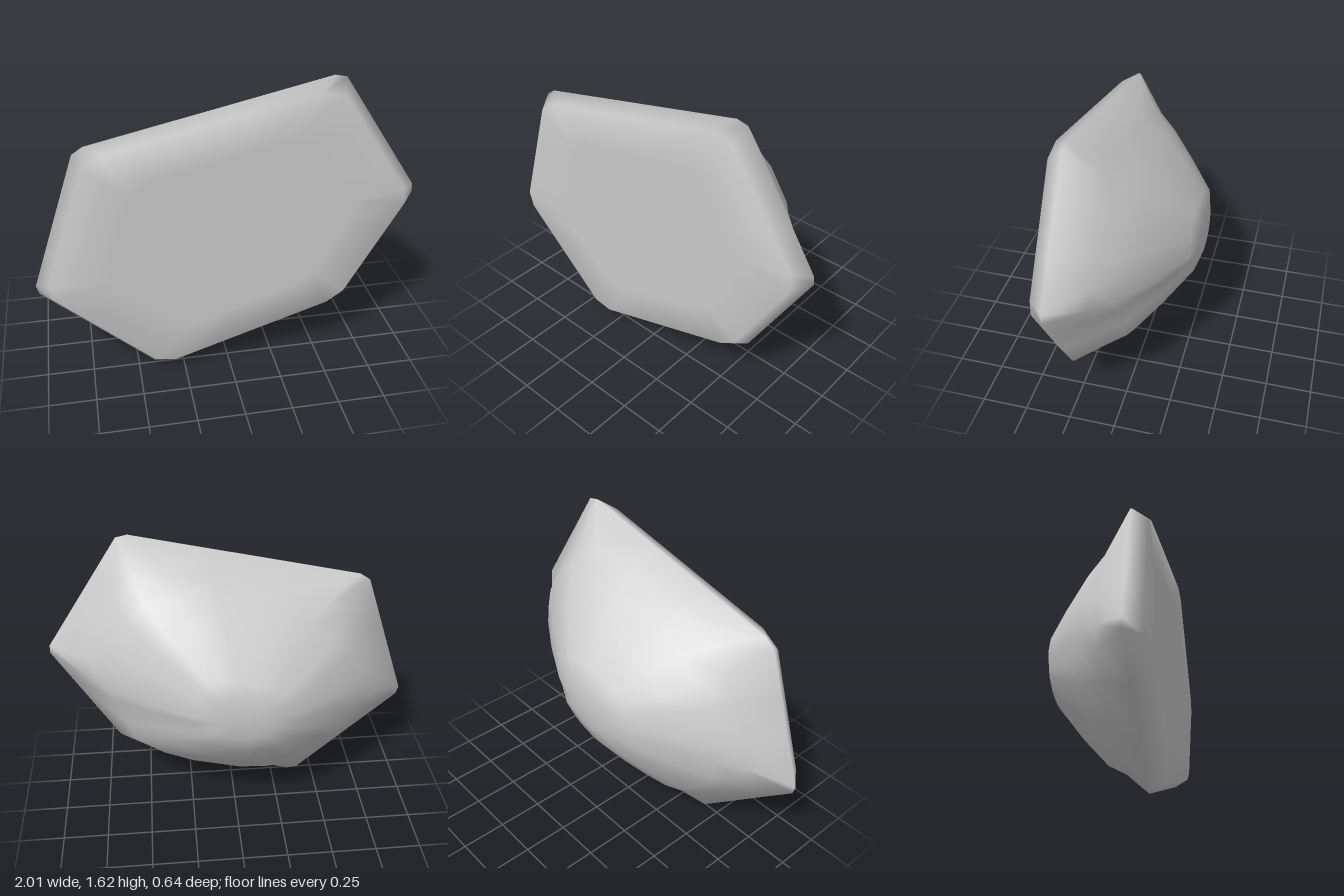
import * as THREE from 'three';
import { mergeVertices } from 'three/addons/utils/BufferGeometryUtils.js';

// Six-sided outline of the stone, counter-clockwise:
// x, y, extra fullness of the back, and roundness of the edge that follows
const OUTLINE = [
  [1.015, 0.96, 0, 1], [0.575, 1.63, 0, 0.7], [-0.755, 1.33, -0.06, 1],
  [-1.015, 0.55, 0, 1], [-0.39, -0.015, 0, 1], [0.65, 0.325, 0.12, -0.4],
];
const CENTRE = [0, 0.81];

// Cross-sections from front to back: depth, scale, corner cut, edge bulge,
// sideways shift and share of the extra fullness
const SECTIONS = [
  { z: 0.32, scale: 0, cut: 0.1, bulge: 0, shift: 0, full: 0 },
  { z: 0.32, scale: 0.65, cut: 0.1, bulge: 0, shift: 0, full: 0 },
  { z: 0.32, scale: 0.94, cut: 0.07, bulge: 0, shift: 0, full: 0 },
  { z: 0.24, scale: 1, cut: 0.035, bulge: 0, shift: 0, full: 0 },
  { z: 0.08, scale: 0.81, cut: 0.1, bulge: 0.04, shift: 0, full: 0.7 },
  { z: -0.02, scale: 0.715, cut: 0.13, bulge: 0.06, shift: 0, full: 1 },
  { z: -0.15, scale: 0.52, cut: 0.15, bulge: 0.07, shift: -0.01, full: 1 },
  { z: -0.28, scale: 0.295, cut: 0.15, bulge: 0.07, shift: -0.03, full: 1 },
  { z: -0.31, scale: 0.165, cut: 0.15, bulge: 0.08, shift: -0.01, full: 1 },
  { z: -0.32, scale: 0, cut: 0.1, bulge: 0, shift: 0, full: 0 },
];

// One closed cross-section: cut corners with two extra points on each edge
function sectionPoints({ z, scale, cut, bulge, shift, full }) {
  const points = [];
  OUTLINE.forEach((a, i) => {
    const b = OUTLINE[(i + 1) % OUTLINE.length];
    [cut, 0.34, 0.66, 1 - cut].forEach((t, k) => {
      const [x, y, fullness] = a.map((v, axis) => THREE.MathUtils.lerp(v, b[axis], t));
      const round = k === 1 || k === 2 ? bulge * a[3] : 0;
      const s = scale * (1 + fullness * full + round);
      points.push(CENTRE[0] + shift + (x - CENTRE[0]) * s, CENTRE[1] + (y - CENTRE[1]) * s, z);
    });
  });
  return points;
}

function stoneGeometry() {
  const n = OUTLINE.length * 4;
  const index = [];
  for (let r = 0; r < SECTIONS.length - 1; r++) {
    for (let j = 0; j < n; j++) {
      const a = r * n + j, b = r * n + (j + 1) % n;
      const c = a + n, d = b + n;
      if (r > 0) index.push(a, c, b);
      if (r < SECTIONS.length - 2) index.push(b, c, d);
    }
  }
  const geometry = new THREE.BufferGeometry();
  geometry.setAttribute('position', new THREE.Float32BufferAttribute(SECTIONS.flatMap(sectionPoints), 3));
  geometry.setIndex(index);
  const smooth = mergeVertices(geometry);
  smooth.computeVertexNormals();
  return smooth;
}

export function createModel() {
  const group = new THREE.Group();
  group.name = 'rock';
  // Flat-fronted stone with a domed back
  const stone = new THREE.Mesh(stoneGeometry(), new THREE.MeshStandardMaterial({ color: 0xcccccc }));
  stone.name = 'stone';
  group.add(stone);
  return group;
}
